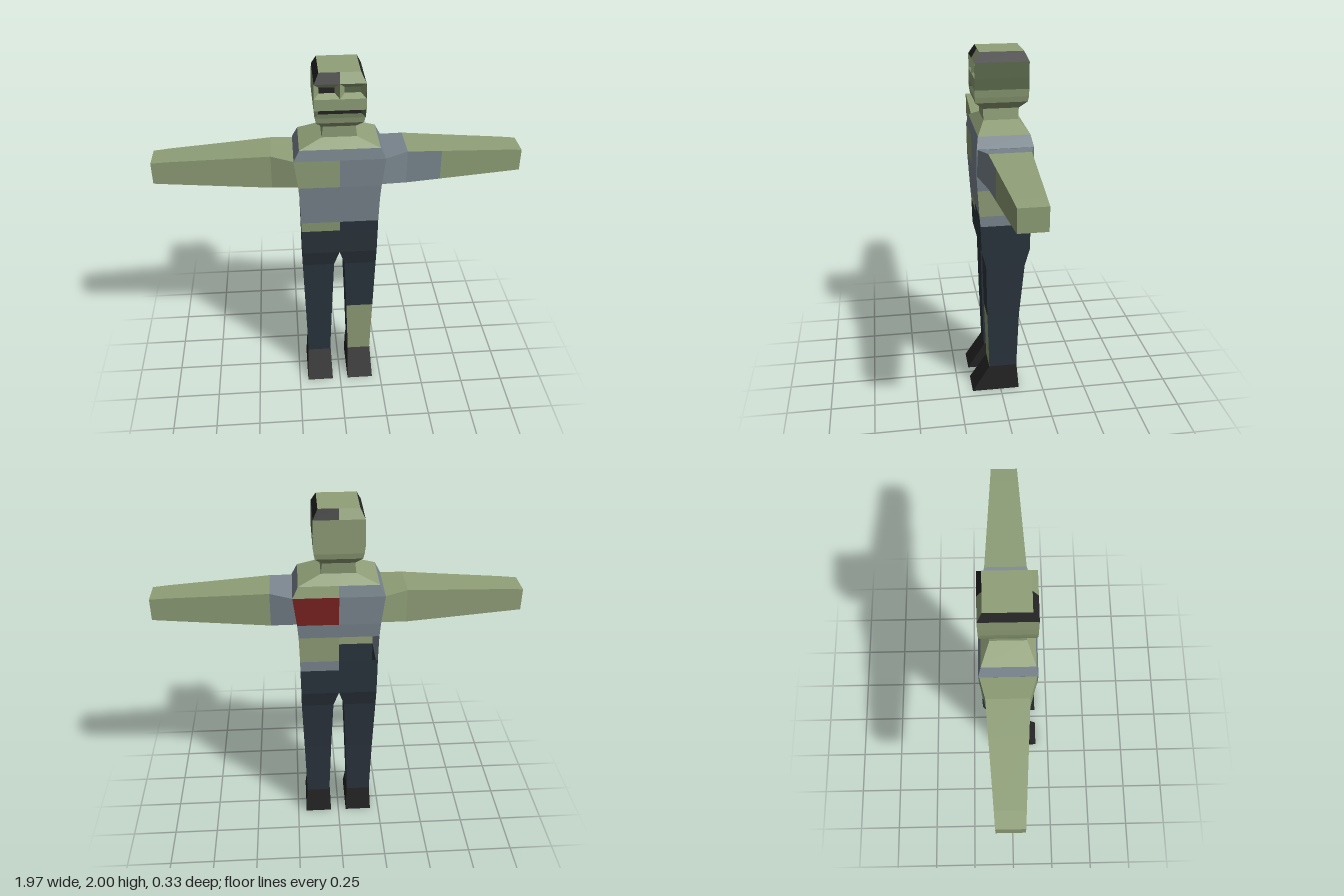
import * as THREE from 'three';

const mat = (name, color) => {
  const m = new THREE.MeshStandardMaterial({ color, side: THREE.DoubleSide });
  m.name = name;
  return m;
};
const MATS = {
  G: mat('skinGreen', 0x90a078),
  D: mat('darkSkin', 0x5c6a4c),
  B: mat('shirtBlue', 0x7b8790),
  N: mat('trouserNavy', 0x2b353e),
  K: mat('black', 0x242424),
  R: mat('woundRed', 0x7a2222),
};

// Turns a list of [colourKey, a, b, c, d] quads into one flat-faced mesh
function part(name, quads) {
  const geo = new THREE.BufferGeometry();
  const keys = [...new Set(quads.map((q) => q[0]))];
  const pos = [];
  keys.forEach((key, i) => {
    const start = pos.length / 3;
    for (const [k, a, b, c, d] of quads) {
      if (k === key) pos.push(...a, ...b, ...c, ...a, ...c, ...d);
    }
    geo.addGroup(start, pos.length / 3 - start, i);
  });
  geo.setAttribute('position', new THREE.Float32BufferAttribute(pos, 3));
  geo.computeVertexNormals();
  const mesh = new THREE.Mesh(geo, keys.map((k) => MATS[k]));
  mesh.name = name;
  return mesh;
}

// Joins rings of points; one colour letter per face, '-' leaves it open
function loft(rings, rows) {
  const quads = [];
  rows.forEach((row, j) => {
    const lo = rings[j], hi = rings[j + 1], n = lo.length;
    [...row].forEach((key, i) => {
      const k = (i + 1) % n;
      if (key !== '-') quads.push([key, lo[i], lo[k], hi[k], hi[i]]);
    });
  });
  return quads;
}

// Body ring split at the middle: front -x, front +x, side +x, back +x, back -x, side -x
const bodyRing = ([y, w, f, b]) =>
  [[-w, y, f], [0, y, f], [w, y, f], [w, y, b], [0, y, b], [-w, y, b]];

// Leg ring: front, +x, back, -x
const legRing = (s) => ([y, xi, xo, f, b]) => {
  const x0 = Math.min(s * xi, s * xo), x1 = Math.max(s * xi, s * xo);
  return [[x0, y, f], [x1, y, f], [x1, y, b], [x0, y, b]];
};

// Arm ring: top, front, bottom, back
const armRing = (s) => ([x, y0, y1, z0, z1]) =>
  [[s * x, y1, z0], [s * x, y1, z1], [s * x, y0, z1], [s * x, y0, z0]];

// Sunken pocket in the front of the face
function pocket(x0, x1, y0, y1, z, mx, my0, my1, depth, wall, floor) {
  const rect = (a, b, c, d, zz) => [[a, c, zz], [b, c, zz], [b, d, zz], [a, d, zz]];
  const inner = rect(x0 + mx, x1 - mx, y0 + my0, y1 - my1, z - depth);
  return [...loft([rect(x0, x1, y0, y1, z), inner], [wall.repeat(4)]), [floor, ...inner]];
}

export function createModel() {
  const model = new THREE.Group();
  model.name = 'figure';

  // Hips, shirt and shoulders, with a torn opening at the back
  const torso = [
    [0.93, 0.21, 0.11, -0.16], [1.08, 0.212, 0.115, -0.16], [1.14, 0.212, 0.12, -0.16],
    [1.29, 0.216, 0.13, -0.16], [1.37, 0.222, 0.135, -0.165], [1.53, 0.242, 0.135, -0.165],
    [1.59, 0.212, 0.125, -0.15], [1.64, 0.092, 0.08, -0.105],
  ].map(bodyRing);
  model.add(part('torso', loft(torso, [
    'NNNNNN', 'GNBBNB', 'BBGG-B', 'BBBBBB', 'GBBRBB', 'BBBGBB', 'GGGGGG',
  ])));

  // Neck
  model.add(part('neck', loft([
    [1.64, 0.092, 0.08, -0.105], [1.7, 0.085, 0.08, -0.11],
  ].map(bodyRing), ['GGGGGG'])));

  // Head with sunken eyes and mouth, hair on the upper bevel
  const head = [
    [1.7, 0.085, 0.08, -0.11], [1.74, 0.122, 0.125, -0.15], [1.77, 0.128, 0.13, -0.155],
    [1.81, 0.133, 0.13, -0.155], [1.87, 0.133, 0.13, -0.155], [1.95, 0.13, 0.13, -0.155],
    [2.0, 0.105, 0.1, -0.13],
  ].map(bodyRing);
  const crown = head[6];
  model.add(part('head', [
    ...loft(head, ['GGGGGG', 'GGGGGG', '--GGGG', 'GGDGGG', '--DGGG', 'KGKKGK']),
    ['G', crown[0], crown[2], crown[3], crown[5]],
  ]));
  model.add(part('rightEye', pocket(-0.131, 0, 1.87, 1.95, 0.13, 0.025, 0.02, 0.03, 0.035, 'G', 'K')));
  model.add(part('leftEye', pocket(0, 0.131, 1.87, 1.95, 0.13, 0.025, 0.02, 0.03, 0.035, 'G', 'D')));
  model.add(part('mouth', pocket(-0.13, 0.13, 1.77, 1.81, 0.13, 0.02, 0.008, 0.012, 0.03, 'D', 'K')));

  for (const s of [1, -1]) {
    const side = s > 0 ? 'left' : 'right';

    // Arms: the left one keeps part of its sleeve
    const arm = [
      [0.222, 1.378, 1.525, -0.164, 0.134], [0.36, 1.358, 1.545, -0.13, 0.092],
      [0.545, 1.367, 1.535, -0.118, 0.081], [0.9, 1.385, 1.517, -0.095, 0.06],
      [0.985, 1.39, 1.51, -0.09, 0.055],
    ].map(armRing(s));
    const sleeve = s > 0 ? ['BBBB', 'GBBG'] : ['GGGG', 'GGGG'];
    const armRows = [...sleeve, 'GGGG', 'GGGG'];
    const hand = arm[4];
    if (s < 0) {
      arm.reverse();
      armRows.reverse();
    }
    const tip = s > 0 ? hand : [...hand].reverse();
    model.add(part(side + 'Arm', [...loft(arm, armRows), ['G', ...tip]]));

    // Legs: the left shin is bare at the front
    const leg = [
      [0.16, 0.055, 0.19, 0.067, -0.095], [0.51, 0.043, 0.2, 0.078, -0.105],
      [0.83, 0.03, 0.21, 0.085, -0.132], [0.93, 0, 0.21, 0.11, -0.16],
    ].map(legRing(s));
    model.add(part(side + 'Leg', loft(leg, [s > 0 ? 'GNNN' : 'NNNN', 'NNNN', 'NNNN'])));

    // Wedge shoes
    const shoe = [
      [0, 0.046, 0.2, 0.168, -0.11], [0.16, 0.052, 0.191, 0.067, -0.096],
    ].map(legRing(s));
    model.add(part(side + 'Shoe', [
      ...loft(shoe, ['KKKK']),
      ['K', ...[...shoe[0]].reverse()],
      ['K', ...shoe[1]],
    ]));
  }
  return model;
}
